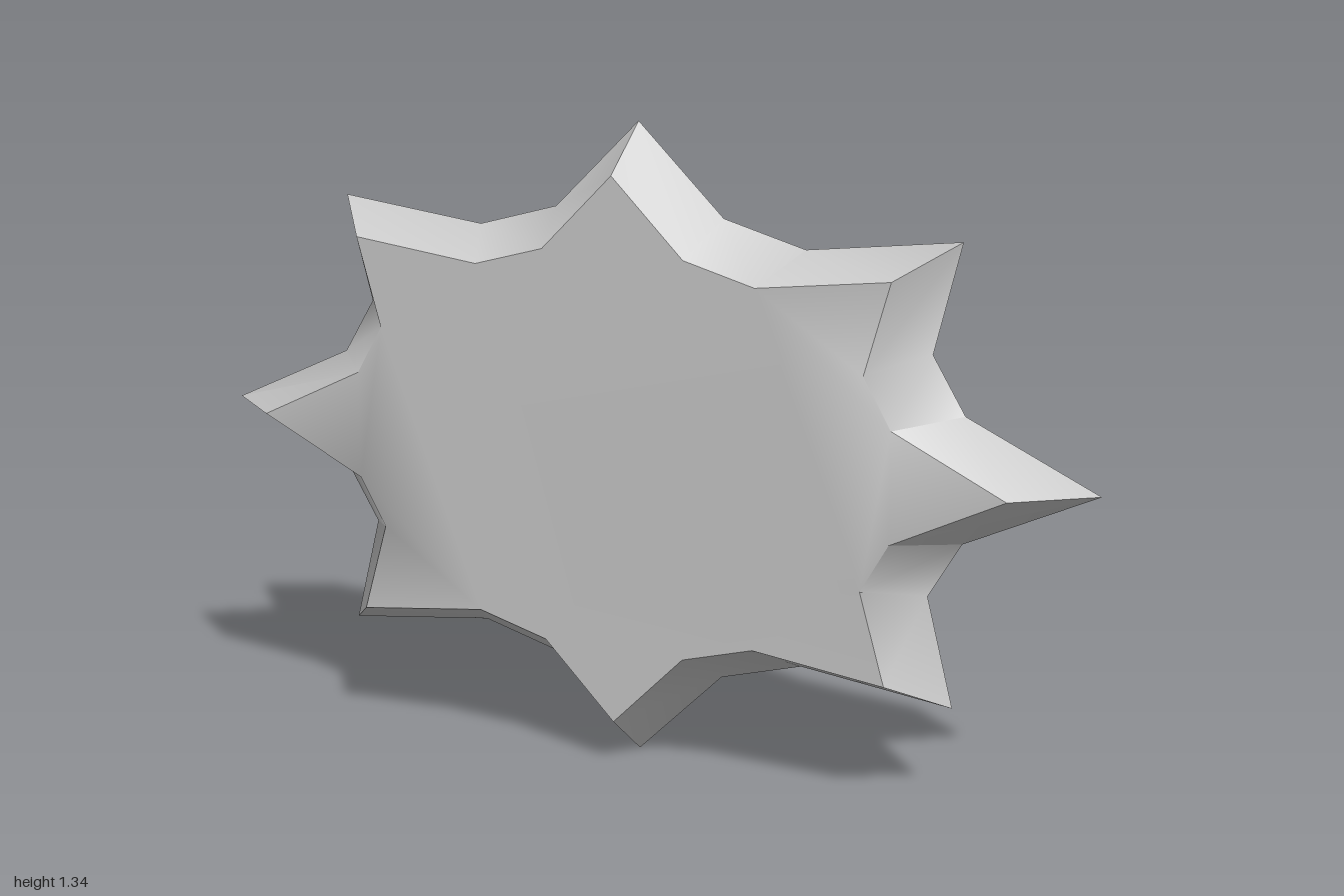
import * as THREE from 'three';
import { toCreasedNormals } from 'three/addons/utils/BufferGeometryUtils.js';

const CENTER_Y = 0.672; // height of the star's centre
const SQUASH = 0.67;    // the whole design is flattened vertically

// Outlines of one quadrant, from the right tip to just before the top tip
const OUTER = [[1, 0], [0.718, 0.13], [0.647, 0.247], [0.705, 0.475], [0.373, 0.435], [0.192, 0.485]];
const INNER = [[0.85, 0], [0.61, 0.115], [0.55, 0.218], [0.605, 0.408], [0.317, 0.373], [0.16, 0.416]];

// Mirror a quadrant into the full counter-clockwise outline
function outline(quadrant, top) {
  const mirrored = quadrant.slice(1).reverse().map(([x, y]) => [-x, y]);
  const half = [...quadrant, [0, top], ...mirrored];
  return [...half, ...half.map(([x, y]) => [-x, -y])];
}

// Star plate: front face, ridge and back face joined by bevels
function starGeometry() {
  const inner = outline(INNER, 0.575);
  const outer = outline(OUTER, 0.672);
  const n = inner.length;
  const rings = [[inner, 0.24], [outer, 0.117], [inner, -0.006]];
  const positions = rings.flatMap(([ring, z]) => ring.flatMap(([x, y]) => [x, y, z]));
  const index = [];
  for (let r = 0; r < 2; r++) {
    for (let i = 0; i < n; i++) {
      const a = r * n + i, b = r * n + (i + 1) % n;
      index.push(a, a + n, b + n, a, b + n, b);
    }
  }
  const caps = THREE.ShapeUtils.triangulateShape(inner.map(([x, y]) => new THREE.Vector2(x, y)), []);
  for (const [a, b, c] of caps) {
    index.push(a, b, c, 2 * n + a, 2 * n + c, 2 * n + b);
  }
  const geometry = new THREE.BufferGeometry();
  geometry.setAttribute('position', new THREE.Float32BufferAttribute(positions, 3));
  geometry.setIndex(index);
  return toCreasedNormals(geometry, THREE.MathUtils.degToRad(53));
}

// Turned part pointing backwards; profile is [radius, distance behind z = 0]
function turned(profile, sides) {
  const lathe = new THREE.LatheGeometry(profile.map(([r, d]) => new THREE.Vector2(r, d)), sides);
  lathe.rotateX(-Math.PI / 2);
  return toCreasedNormals(lathe, THREE.MathUtils.degToRad(60)).scale(1, SQUASH, 1);
}

export function createModel() {
  const model = new THREE.Group();
  model.name = 'starKnob';
  const grey = new THREE.MeshStandardMaterial({ color: 0xcccccc });
  grey.name = 'light grey';

  const add = (name, geometry) => {
    const mesh = new THREE.Mesh(geometry, grey);
    mesh.name = name;
    mesh.position.y = CENTER_Y;
    model.add(mesh);
  };

  add('starPlate', starGeometry());
  // Shallow domed mount on the back
  add('backMount', turned([[0.4, 0.005], [0.373, 0.052], [0.062, 0.125], [0, 0.125]], 20));
  // Faceted stud with a hollow end
  add('stud', turned([[0.062, 0.122], [0.167, 0.172], [0.1, 0.24], [0, 0.175]], 8));
  return model;
}
